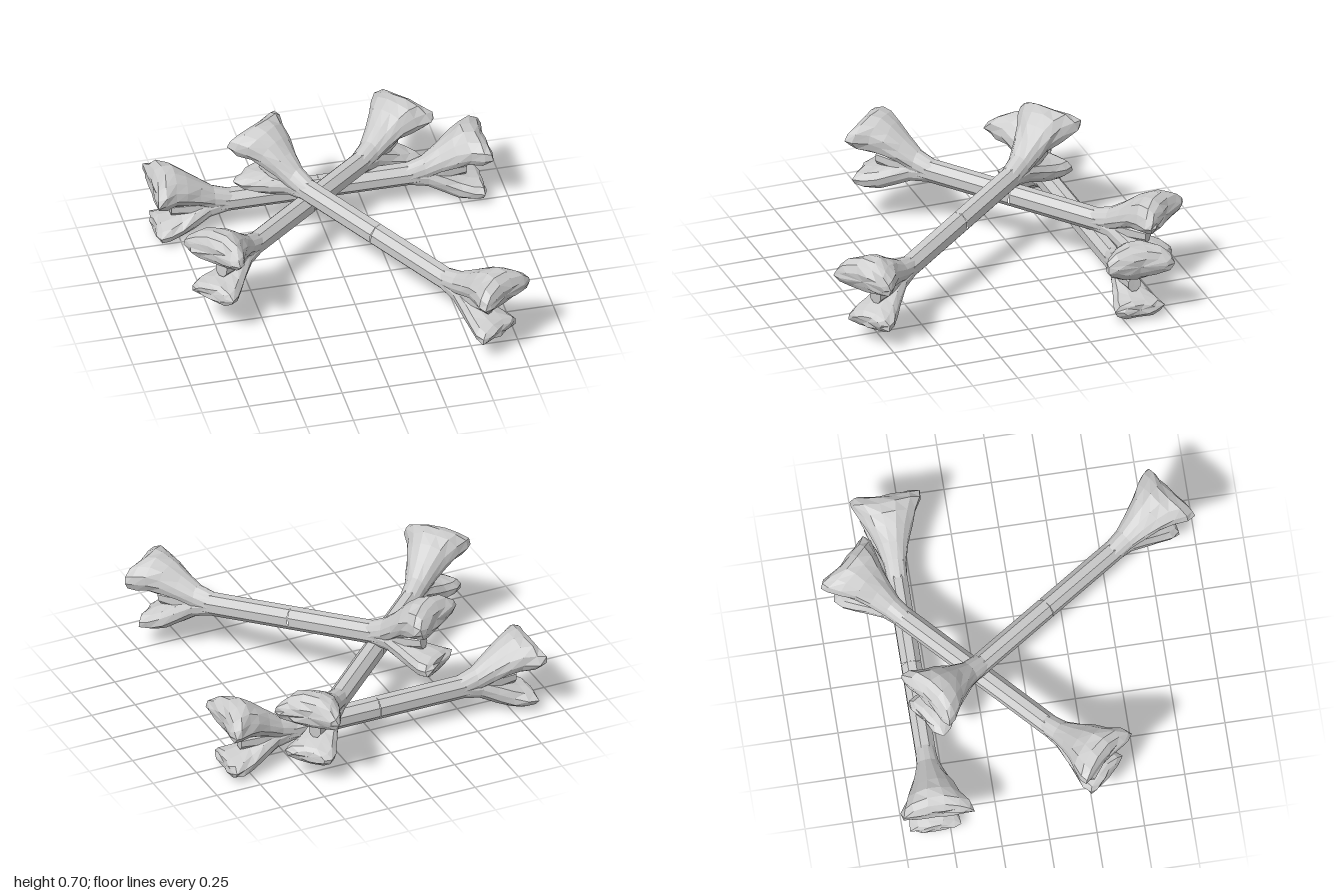
import * as THREE from 'three';

const material = new THREE.MeshStandardMaterial({ color: 0xcccccc, flatShading: true });

// small seeded generator for the lumpy surface
function seeded(seed) {
  let s = seed;
  return () => {
    s = (s * 16807) % 2147483647;
    return s / 2147483647 - 0.5;
  };
}

// Skin elliptical rings [x, y, halfHeight, halfWidth, roughness] along +x, closed at the far end
function loft(rings, sides, seed) {
  const rnd = seeded(seed);
  const pos = [], index = [];
  for (const [x, y, h, w, rough] of rings) {
    for (let j = 0; j < sides; j++) {
      const a = ((j + 0.5) / sides) * Math.PI * 2;
      const k = 1 + rnd() * rough;
      const z = Math.sin(a) * w * k;
      // the outer corners of a knuckle reach further than its middle
      pos.push(x + z * z * 0.9 + rnd() * rough * 0.08, y + Math.cos(a) * h * k, z);
    }
  }
  for (let i = 0; i < rings.length - 1; i++) {
    for (let j = 0; j < sides; j++) {
      const a = i * sides + j, b = i * sides + (j + 1) % sides;
      index.push(a, b, a + sides, b, b + sides, a + sides);
    }
  }
  const last = (rings.length - 1) * sides;
  const [ex, ey] = rings[rings.length - 1];
  pos.push(ex, ey, 0);
  for (let j = 0; j < sides; j++) index.push(last + j, last + (j + 1) % sides, last + sides);
  const geo = new THREE.BufferGeometry();
  geo.setAttribute('position', new THREE.Float32BufferAttribute(pos, 3));
  geo.setIndex(index);
  const flat = geo.toNonIndexed();
  flat.computeVertexNormals();
  return flat;
}

// half shaft, narrowing to the neck between the two knuckles
const SHAFT = [
  [0, 0, 0.064, 0.057, 0],
  [0.55, 0, 0.064, 0.057, 0],
  [0.66, 0, 0.06, 0.055, 0],
  [0.79, 0, 0.045, 0.036, 0],
];
// broad upper knuckle
const UPPER = [
  [0.46, 0.0, 0.058, 0.052, 0],
  [0.56, 0.028, 0.066, 0.06, 0.05],
  [0.64, 0.075, 0.075, 0.085, 0.1],
  [0.71, 0.117, 0.088, 0.115, 0.12],
  [0.77, 0.14, 0.1, 0.145, 0.12],
  [0.825, 0.147, 0.098, 0.18, 0.12],
  [0.865, 0.147, 0.075, 0.185, 0.14],
  [0.885, 0.143, 0.04, 0.14, 0.2],
];
// smaller lower knuckle
const LOWER = [
  [0.46, 0.0, 0.058, 0.052, 0],
  [0.58, -0.022, 0.062, 0.058, 0.05],
  [0.67, -0.065, 0.068, 0.08, 0.1],
  [0.74, -0.097, 0.068, 0.105, 0.12],
  [0.8, -0.112, 0.063, 0.13, 0.12],
  [0.85, -0.115, 0.052, 0.133, 0.14],
  [0.875, -0.112, 0.03, 0.09, 0.2],
];

function createBone(name, seed) {
  const bone = new THREE.Group();
  bone.name = name;
  for (const [side, turn] of [['left', 0], ['right', Math.PI]]) {
    const end = new THREE.Group();
    end.name = side + 'End';
    end.rotation.y = turn;
    const parts = [['shaft', SHAFT, 8], ['upperKnuckle', UPPER, 13], ['lowerKnuckle', LOWER, 11]];
    parts.forEach(([part, rings, sides], i) => {
      const mesh = new THREE.Mesh(loft(rings, sides, seed + i * 977 + (turn ? 4099 : 0)), material);
      mesh.name = part;
      end.add(mesh);
    });
    bone.add(end);
  }
  return bone;
}

export function createModel() {
  const model = new THREE.Group();
  model.name = 'bonePile';
  // name, centre, turn about y, slope
  const layout = [
    ['bottomBone', [0, 0.182, -0.575], 0, 0],
    ['middleBone', [-0.135, 0.32, -0.253], 0.733, -0.06],
    ['topBone', [0.14, 0.362, 0.155], -0.953, -0.12],
  ];
  layout.forEach(([name, centre, yaw, slope], i) => {
    const bone = createBone(name, 12345 + i * 7919);
    bone.position.set(...centre);
    bone.rotation.set(0, yaw, slope, 'YZX');
    model.add(bone);
  });
  return model;
}
